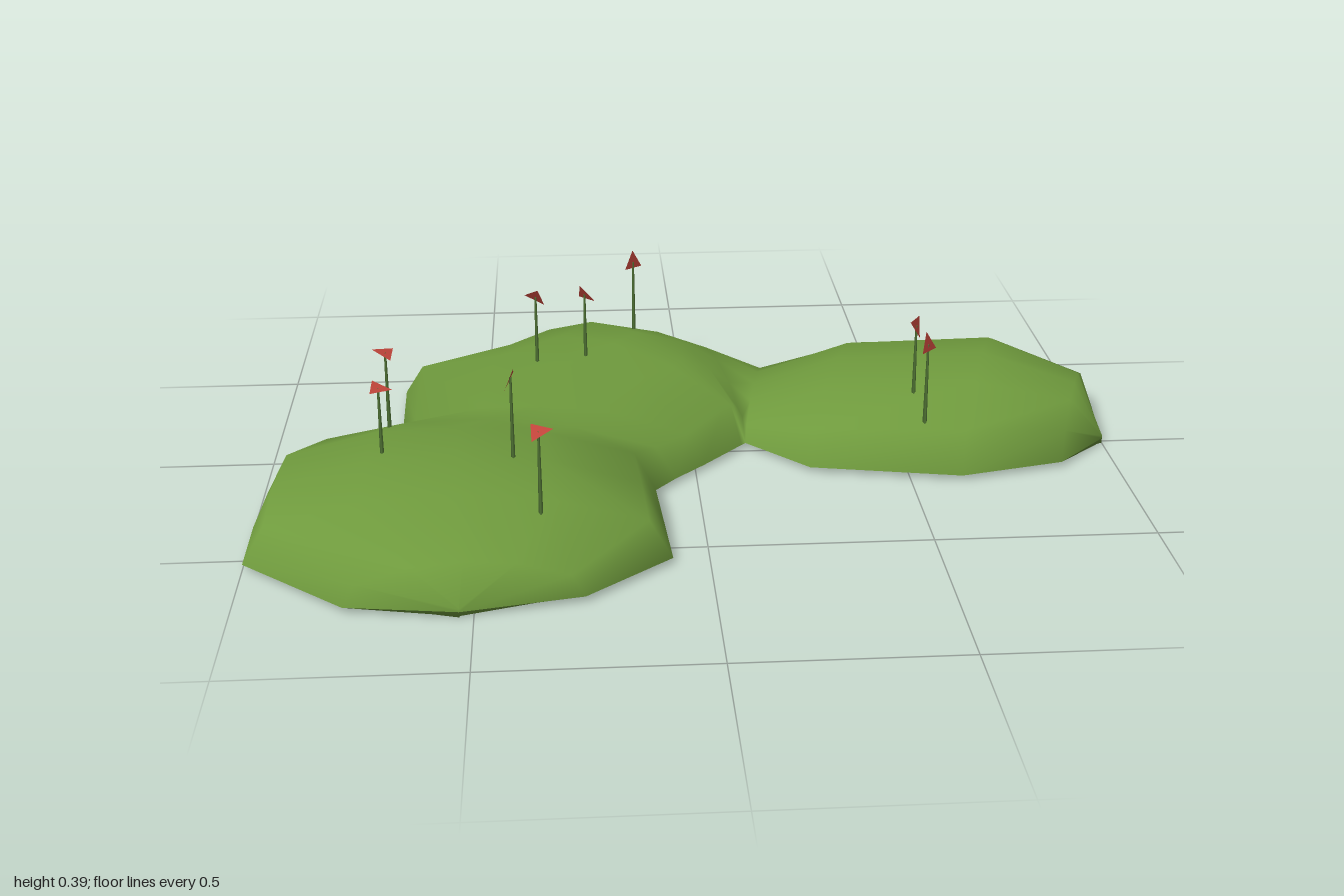
import * as THREE from 'three';
import { mergeVertices } from 'three/addons/utils/BufferGeometryUtils.js';

const grass = new THREE.MeshStandardMaterial({ name: 'grass green', color: 0x6f9a3d });
const stemGreen = new THREE.MeshStandardMaterial({ name: 'stem green', color: 0x557a38 });
const red = new THREE.MeshStandardMaterial({ name: 'petal red', color: 0xc0443a, side: THREE.DoubleSide });

// Cross-sections along the hill: leftX, leftZ, rightX, rightZ, crest height, edge steepness
const SECTIONS = [
  [-0.53, 0.78, -0.53, 0.78, 0.02, 0.6],
  [-0.77, 0.745, -0.27, 0.73, 0.105, 0.6],
  [-1.0, 0.54, -0.08, 0.57, 0.17, 0.6],
  [-1.0, 0.36, -0.09, 0.4, 0.186, 0.6],
  [-0.99, 0.18, -0.1, 0.23, 0.175, 0.6],
  [-0.91, 0.06, -0.05, 0.17, 0.152, 0.6],
  [-0.7, -0.02, 0.02, 0.1, 0.15, 0.6],
  [-0.71, -0.4, 0.12, -0.01, 0.163, 0.55],
  [-0.48, -0.61, 0.13, -0.02, 0.165, 0.4],
  [-0.37, -0.78, 0.13, -0.02, 0.162, 0.28],
  [-0.13, -0.72, 0.13, -0.02, 0.142, 0.28],
  [0.04, -0.62, 0.13, -0.02, 0.112, 0.4],
  [0.21, -0.46, 0.13, -0.02, 0.078, 0.5],
  [0.48, -0.54, 0.27, 0.13, 0.155, 0.5],
  [0.83, -0.48, 0.62, 0.2, 0.186, 0.55],
  [1.0, -0.22, 0.87, 0.14, 0.14, 0.7],
  [1.0, 0.01, 1.0, 0.01, 0.02, 0.6],
];

// Skins a grid of section points into a smooth surface
function loft(rows, flip) {
  const n = rows[0].length;
  const index = [];
  for (let i = 0; i < rows.length - 1; i++) {
    for (let j = 0; j < n - 1; j++) {
      const a = i * n + j, b = a + 1, c = a + n, d = c + 1;
      if (flip) index.push(a, c, b, b, c, d);
      else index.push(a, b, c, b, d, c);
    }
  }
  let geo = new THREE.BufferGeometry();
  geo.setAttribute('position', new THREE.Float32BufferAttribute(rows.flat(2), 3));
  geo.setIndex(index);
  geo = mergeVertices(geo, 1e-4);
  geo.computeVertexNormals();
  return geo;
}

// Rounded section over the ground, or the shallow section underneath
function sectionPoints([lx, lz, rx, rz, h, e], under) {
  const rim = 0.012, shoulder = 0.7 + 0.35 * e;
  const profile = under
    ? [[0, rim], [0.2, 0.003], [0.5, 0], [0.8, 0.003], [1, rim]]
    : [[0, rim], [0.055, h * e], [0.28, h * shoulder], [0.5, h],
      [0.72, h * 0.91], [0.945, h * 0.6], [1, rim]];
  return profile.map(([t, y]) => [lx + (rx - lx) * t, y, lz + (rz - lz) * t]);
}

// Flowers: x, z, head height, apex direction (3), facing direction (3)
const FLOWERS = [
  [-0.71, 0.12, 0.325, -1, 0.3, 0, 0.3, 1, 0.2],
  [-0.71, 0.33, 0.325, 1, -0.2, 0, 0.15, 1, 0.2],
  [-0.42, 0.385, 0.365, 0.2, 0, -1, 1, -0.4, 0.2],
  [-0.36, 0.6, 0.33, 1, 0.1, 0, -0.2, 1, 0.4],
  [-0.37, -0.23, 0.325, 0.3, 0.8, 0.3, 0.4, 0.5, -0.7],
  [-0.25, -0.24, 0.325, 0.7, -0.3, 0.3, 0.6, 0.5, -0.6],
  [-0.12, -0.505, 0.315, 0, 1, 0, 0.6, 0.05, 0.8],
  [0.53, 0.015, 0.32, 0, -1, 0, 0.8, 0.3, 0.5],
  [0.54, 0.12, 0.312, 0, 1, 0, 0.6, 0.2, 0.6],
];

function makeFlower([x, z, top, ax, ay, az, nx, ny, nz]) {
  const flower = new THREE.Group();
  flower.name = 'flower';

  // Thin three-sided stem
  const base = 0.11;
  const stem = new THREE.Mesh(new THREE.CylinderGeometry(0.003, 0.006, top - base, 3), stemGreen);
  stem.name = 'stem';
  stem.position.set(x, (top + base) / 2, z);

  // Flat triangular head, tilted its own way
  const head = new THREE.Mesh(new THREE.CircleGeometry(0.031, 3, Math.PI / 2), red);
  head.name = 'flowerHead';
  const normal = new THREE.Vector3(nx, ny, nz).normalize();
  const apex = new THREE.Vector3(ax, ay, az).projectOnPlane(normal).normalize();
  const side = new THREE.Vector3().crossVectors(apex, normal);
  head.quaternion.setFromRotationMatrix(new THREE.Matrix4().makeBasis(side, apex, normal));
  head.position.set(x, top, z);

  flower.add(stem, head);
  return flower;
}

export function createModel() {
  const model = new THREE.Group();
  model.name = 'floweryHill';

  const hill = new THREE.Mesh(loft(SECTIONS.map((s) => sectionPoints(s, false)), false), grass);
  hill.name = 'hillTop';
  const underside = new THREE.Mesh(loft(SECTIONS.map((s) => sectionPoints(s, true)), true), grass);
  underside.name = 'hillUnderside';
  model.add(hill, underside);

  for (const f of FLOWERS) model.add(makeFlower(f));
  return model;
}
